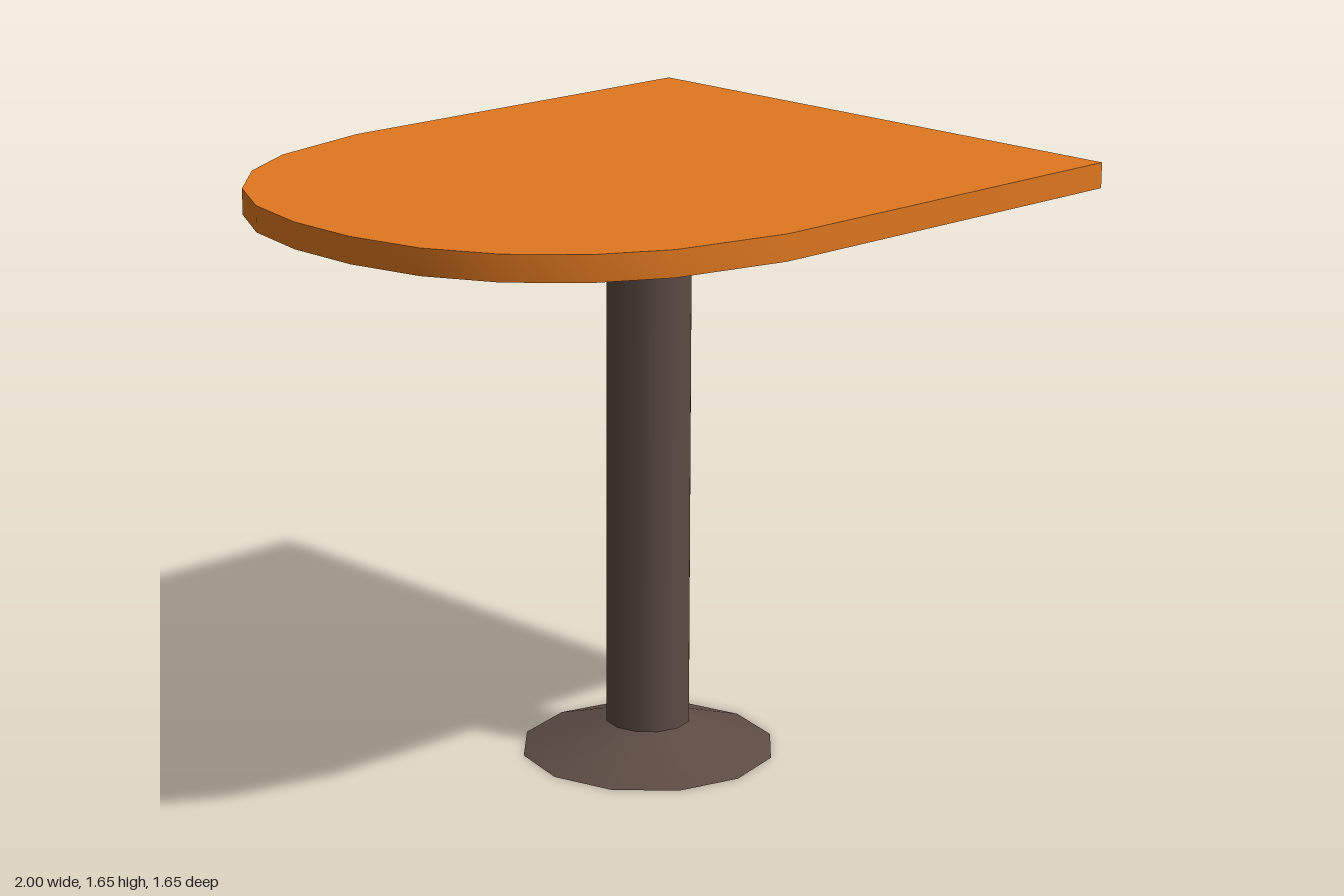
import * as THREE from 'three';
import { toCreasedNormals } from 'three/addons/utils/BufferGeometryUtils.js';

export function createModel() {
  const group = new THREE.Group();
  group.name = 'table';
  const orange = new THREE.MeshStandardMaterial({ color: 0xe07820 });
  const brown = new THREE.MeshStandardMaterial({ color: 0x5d4c44, side: THREE.DoubleSide });

  const add = (name, geometry, material, x, y) => {
    const mesh = new THREE.Mesh(geometry, material);
    mesh.name = name;
    mesh.position.set(x, y, 0);
    group.add(mesh);
  };

  // Table top: straight edge at +x, faceted round end at -x, mirrored across z
  const half = [[1, 0.826], [-0.205, 0.826], [-0.52, 0.755], [-0.705, 0.652],
    [-0.857, 0.5], [-0.955, 0.318], [-1, 0.108]];
  const outline = [...half, ...half.map(([x, z]) => [x, -z]).reverse()];
  const shape = new THREE.Shape(outline.map(([x, z]) => new THREE.Vector2(x, z)));
  const top = new THREE.ExtrudeGeometry(shape, { depth: 0.07, bevelEnabled: false });
  top.rotateX(-Math.PI / 2);
  add('tableTop', toCreasedNormals(top, 0.6), orange, 0, 1.585);

  // Hollow post and flared foot, both open-ended
  const postX = 0.122, postR = 0.118, footH = 0.082, postH = 1.585 - footH;
  add('post', new THREE.CylinderGeometry(postR, postR, postH, 12, 1, true), brown, postX, footH + postH / 2);
  add('foot', new THREE.CylinderGeometry(postR, 0.354, footH, 12, 1, true), brown, postX, footH / 2);

  return group;
}
